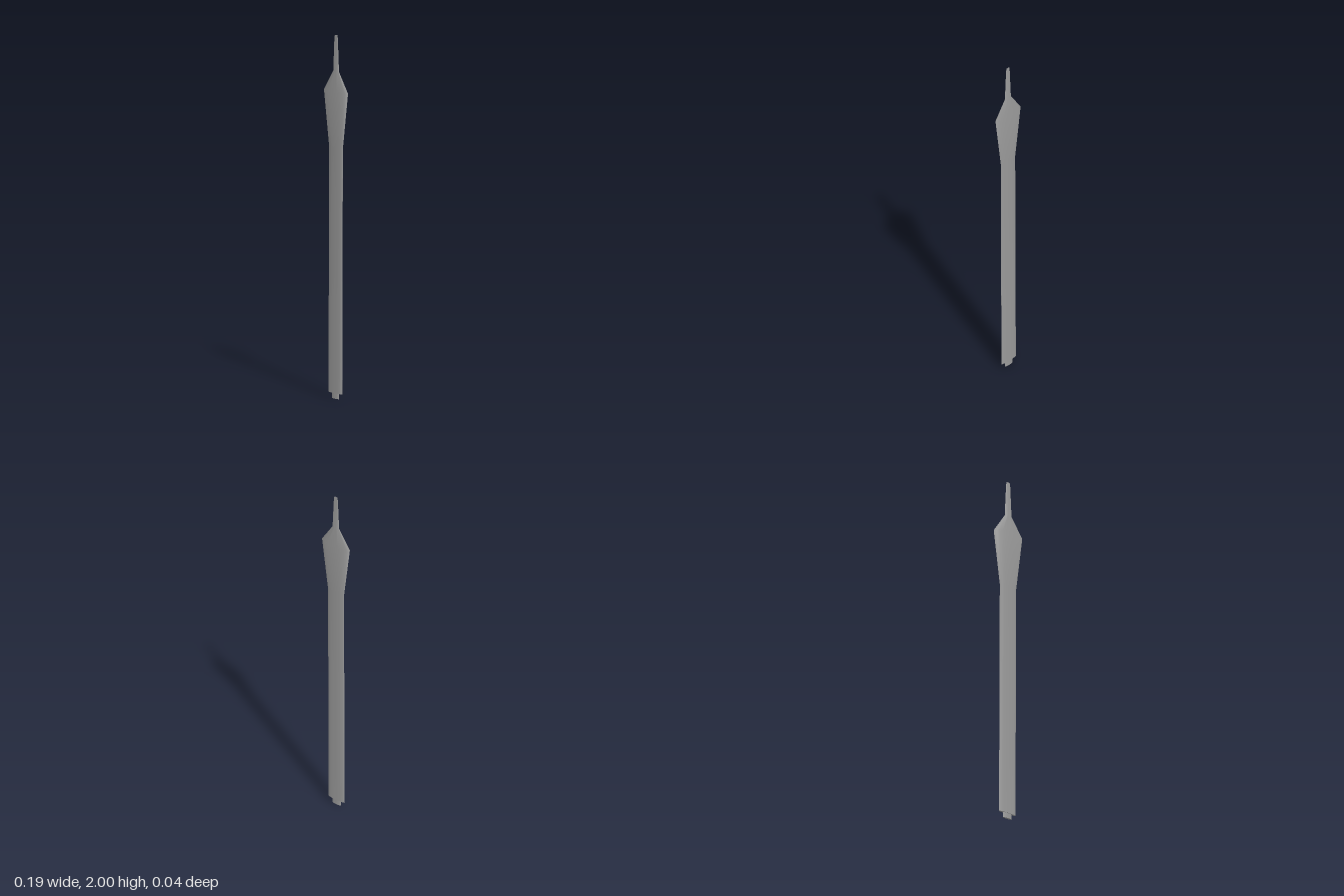
import * as THREE from 'three';
import { toCreasedNormals } from 'three/addons/utils/BufferGeometryUtils.js';

const SIDES = 24;

// Lofts flat elliptical sections [y, centreX, halfWidth, halfDepth], listed bottom to top.
function loft(sections) {
  const pos = [], idx = [];
  for (const [y, cx, w, d] of sections) {
    for (let i = 0; i < SIDES; i++) {
      const a = (i / SIDES) * Math.PI * 2;
      pos.push(cx + w * Math.cos(a), y, d * Math.sin(a));
    }
  }
  for (let r = 0; r < sections.length - 1; r++) {
    for (let i = 0; i < SIDES; i++) {
      const a = r * SIDES + i, b = r * SIDES + (i + 1) % SIDES;
      idx.push(a, a + SIDES, b, b, a + SIDES, b + SIDES);
    }
  }
  // end caps
  const top = (sections.length - 1) * SIDES;
  for (let i = 1; i < SIDES - 1; i++) {
    idx.push(0, i, i + 1);
    idx.push(top, top + i + 1, top + i);
  }
  const g = new THREE.BufferGeometry();
  g.setAttribute('position', new THREE.Float32BufferAttribute(pos, 3));
  g.setIndex(idx);
  return toCreasedNormals(g, 0.9);
}

export function createModel() {
  const group = new THREE.Group();
  const metal = new THREE.MeshStandardMaterial({ color: 0x999999 });
  metal.name = 'grey metal';

  const add = (name, sections) => {
    const mesh = new THREE.Mesh(loft(sections), metal);
    mesh.name = name;
    group.add(mesh);
  };

  // long flat shaft flaring into the head, then the narrow tip
  add('blade', [
    [0.03, -0.006, 0.056, 0.008],
    [1.38, -0.001, 0.056, 0.008],
    [1.69, -0.001, 0.097, 0.018],
    [1.80, 0, 0.023, 0.005],
    [1.985, 0, 0.014, 0.002],
    [2.0, 0, 0.010, 0.0015],
  ]);
  // short stub under the shaft
  add('tang', [
    [0, -0.006, 0.029, 0.006],
    [0.04, -0.006, 0.029, 0.006],
  ]);
  return group;
}
